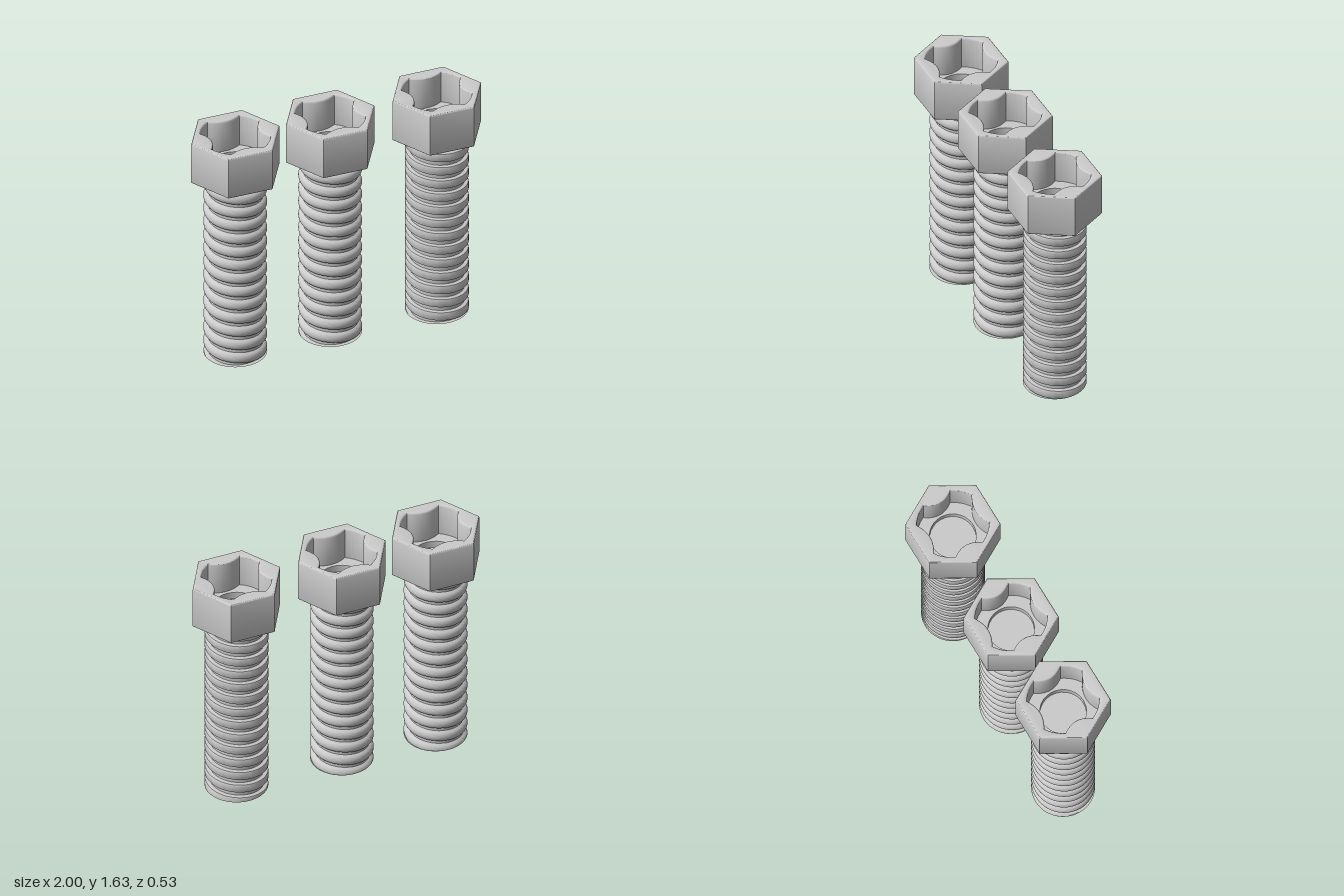
import * as THREE from 'three';
import { toCreasedNormals } from 'three/addons/utils/BufferGeometryUtils.js';

const material = new THREE.MeshStandardMaterial({ color: 0xcccccc, side: THREE.DoubleSide });
const PITCH = 0.1, HEAD_Y = 1.335, TOP_Y = 1.635, FLOOR_Y = 1.41, CORE = 0.177, CREST = 0.205;

// Thread profiles over one pitch: [height fraction from the ridge centre, radius]
const roundThread = [];
for (let i = 0; i < 10; i++) {
  const t = -0.38 + (0.76 * i) / 9;
  roundThread.push([t, CORE + (CREST - CORE) * Math.sqrt(Math.max(0, 1 - (t / 0.38) ** 2))]);
}
const squareThread = [[-0.32, CORE], [-0.29, CREST - 0.003], [-0.24, CREST],
  [0.24, CREST], [0.29, CREST - 0.003], [0.32, CORE]];

// Helical sheet: profile rows that sink by one pitch per turn, cut off flat at both ends
function threadGeometry(profile) {
  const segments = 64, turns = Math.ceil(HEAD_Y / PITCH) + 2;
  const positions = [], index = [];
  const rows = turns * profile.length;
  for (let r = 0; r < rows; r++) {
    const [t, radius] = profile[r % profile.length];
    const turn = Math.floor(r / profile.length) - 1;
    for (let s = 0; s <= segments; s++) {
      const a = (s / segments) * Math.PI * 2;
      const y = 0.05 + PITCH * (turn + t - s / segments + 0.0);
      positions.push(radius * Math.sin(a), THREE.MathUtils.clamp(y, 0, HEAD_Y), radius * Math.cos(a));
      if (r < rows - 1 && s < segments) {
        const p = r * (segments + 1) + s, q = p + segments + 1;
        index.push(p, p + 1, q, p + 1, q + 1, q);
      }
    }
  }
  const g = new THREE.BufferGeometry();
  g.setAttribute('position', new THREE.Float32BufferAttribute(positions, 3));
  g.setIndex(index);
  return toCreasedNormals(g, 0.7);
}

// Hexagon with corners on the x axis
function hexShape(radius) {
  const points = [];
  for (let i = 0; i < 6; i++) {
    const a = (i * Math.PI) / 3;
    points.push(new THREE.Vector2(radius * Math.cos(a), radius * Math.sin(a)));
  }
  return new THREE.Shape(points);
}

// Four-lobed socket outline with an inward bump on each axis
function drawSocket(path) {
  path.moveTo(0.203, -0.1);
  path.quadraticCurveTo(0.127, 0, 0.203, 0.1);
  path.quadraticCurveTo(0.17, 0.168, 0.11, 0.205);
  path.quadraticCurveTo(0, 0.135, -0.11, 0.205);
  path.quadraticCurveTo(-0.17, 0.168, -0.203, 0.1);
  path.quadraticCurveTo(-0.127, 0, -0.203, -0.1);
  path.quadraticCurveTo(-0.17, -0.168, -0.11, -0.205);
  path.quadraticCurveTo(0, -0.135, 0.11, -0.205);
  path.quadraticCurveTo(0.17, -0.168, 0.203, -0.1);
  return path;
}

// Extrude a flat shape upwards between two heights
function extrudeUp(shape, y0, y1, bevel = 0) {
  const g = new THREE.ExtrudeGeometry(shape, {
    depth: y1 - y0 - 2 * bevel, curveSegments: 14, bevelEnabled: bevel > 0,
    bevelSize: bevel, bevelThickness: bevel, bevelOffset: -bevel, bevelSegments: 3,
  });
  g.rotateX(-Math.PI / 2).translate(0, y0 + bevel, 0);
  return toCreasedNormals(g, 0.6);
}

function disc(radius, y, up) {
  return new THREE.CircleGeometry(radius, 48).rotateX(up ? -Math.PI / 2 : Math.PI / 2).translate(0, y, 0);
}

function createBolt(profile, bevel) {
  const bolt = new THREE.Group();
  const add = (name, geometry) => {
    const mesh = new THREE.Mesh(geometry, material);
    mesh.name = name;
    bolt.add(mesh);
  };

  // Threaded shank and its flat end
  add('threadedShank', threadGeometry(profile));
  add('shankEnd', disc(CORE + 0.001, 0, false));

  // Hexagonal head with the socket cut through
  const hex = hexShape(0.305);
  hex.holes.push(drawSocket(new THREE.Path()));
  add('hexHead', extrudeUp(hex, HEAD_Y, TOP_Y, bevel));

  // Socket floor with a shallow round bore
  const floor = drawSocket(new THREE.Shape());
  floor.holes.push(new THREE.Path().absarc(0, 0, 0.15, 0, Math.PI * 2, true));
  add('socketFloor', extrudeUp(floor, HEAD_Y, FLOOR_Y));
  add('boreFloor', disc(0.15, 1.36, true));
  add('headUnderside', disc(0.245, HEAD_Y, false));
  return bolt;
}

export function createModel() {
  const model = new THREE.Group();
  model.name = 'boltSet';
  const bolts = [
    ['rightBolt', -0.695, roundThread, 0.012],
    ['middleBolt', -0.04, roundThread, 0.012],
    ['leftBolt', 0.695, squareThread, 0.008],
  ];
  for (const [name, x, profile, bevel] of bolts) {
    const bolt = createBolt(profile, bevel);
    bolt.name = name;
    bolt.position.x = x;
    model.add(bolt);
  }
  return model;
}
